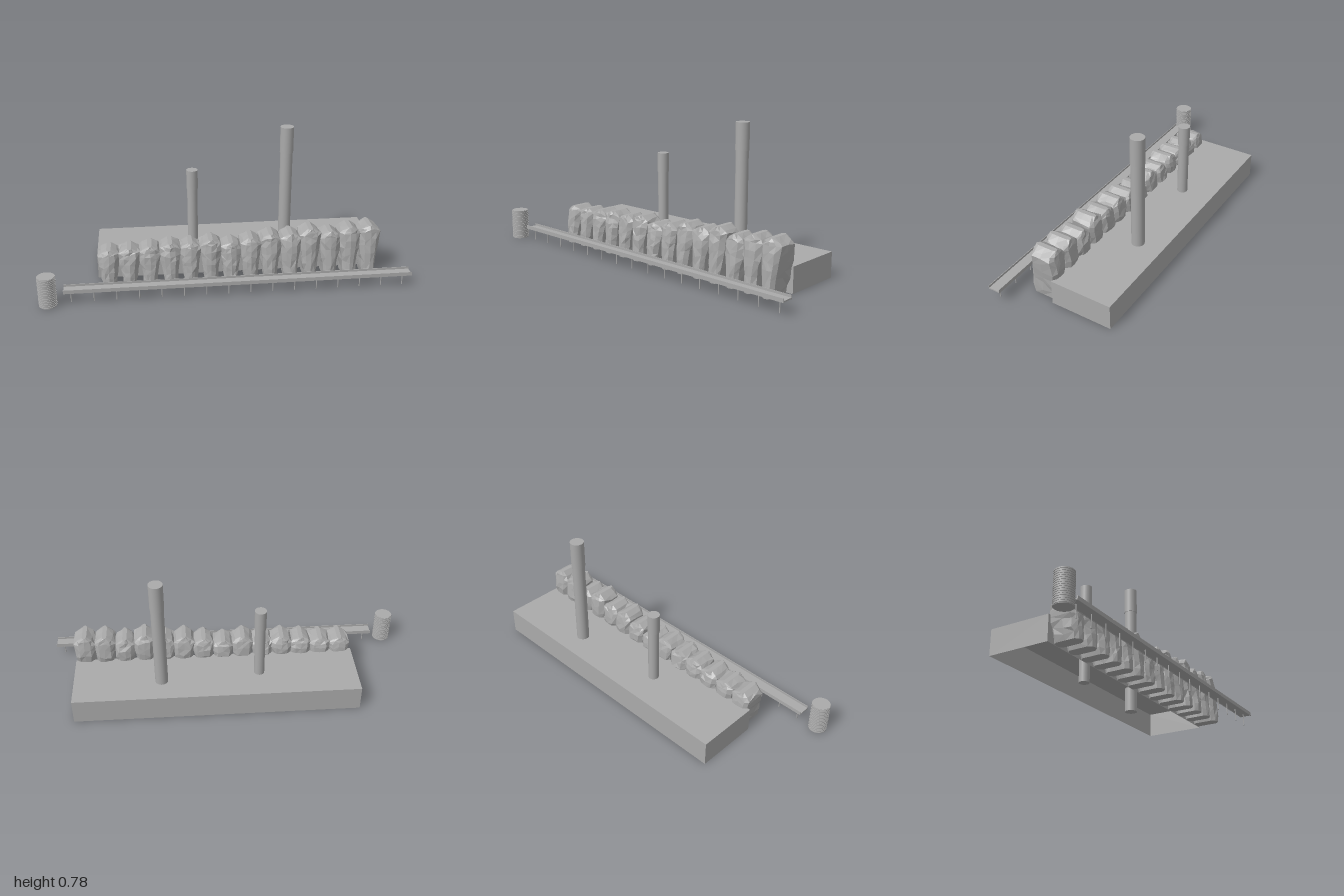
import * as THREE from 'three';

const grey = new THREE.MeshStandardMaterial({ color: 0xaaaaaa });
grey.name = 'grey';
const greyFaceted = grey.clone();
greyFaceted.name = 'grey faceted';
greyFaceted.flatShading = true;
const greyOpen = grey.clone();
greyOpen.name = 'grey thin';
greyOpen.side = THREE.DoubleSide;

function add(parent, name, geometry, x = 0, y = 0, z = 0, material = grey) {
  const mesh = new THREE.Mesh(geometry, material);
  mesh.name = name;
  mesh.position.set(x, y, z);
  parent.add(mesh);
  return mesh;
}

function seeded(seed) {
  let s = seed;
  return () => (s = (s * 16807) % 2147483647) / 2147483647;
}

// Plan outline of a boulder: sideways and depth factors, counterclockwise from above
const OUTLINE = [
  [-0.55, 0.92], [0, 1], [0.55, 0.92], [1, 0.66], [1, 0], [1, -0.75],
  [0.6, -0.97], [0, -1], [-0.6, -0.97], [-1, -0.75], [-1, 0], [-1, 0.66],
];
// Boulder levels: height fraction, half width, front z, back z
const LEVELS = [
  [0, 0.032, 0.161, 0.015], [0.15, 0.037, 0.161, 0.008], [0.3, 0.042, 0.158, -0.001],
  [0.45, 0.047, 0.156, -0.008], [0.6, 0.052, 0.152, -0.014], [0.74, 0.056, 0.148, -0.011],
  [0.87, 0.058, 0.141, -0.004], [0.93, 0.042, 0.138, 0.002], [1, 0.012, 0.132, 0.008],
];

function boulderGeometry(height, rand) {
  const pos = [], index = [], n = OUTLINE.length, last = LEVELS.length - 1;
  LEVELS.forEach(([f, w, front, back], level) => {
    const rough = level === 0 || level === last ? 0 : 1;
    for (const [u, v] of OUTLINE) {
      const jitter = (a) => (rand() - 0.5) * a * rough;
      pos.push(
        u * w + jitter(0.008),
        f * height + jitter(level < 7 ? 0.022 : 0.006),
        (front + back) / 2 + v * (front - back) / 2 + jitter(0.007));
    }
  });
  for (let l = 0; l < last; l++) {
    for (let i = 0; i < n; i++) {
      const a = l * n + i, b = l * n + (i + 1) % n;
      // alternate diagonals for a chiselled surface
      if (rand() < 0.7) index.push(a, b, b + n, a, b + n, a + n);
      else index.push(a, b, a + n, b, b + n, a + n);
    }
  }
  for (let i = 1; i < n - 1; i++) {
    index.push(0, i + 1, i, last * n, last * n + i, last * n + i + 1);
  }
  const geometry = new THREE.BufferGeometry();
  geometry.setAttribute('position', new THREE.Float32BufferAttribute(pos, 3));
  geometry.setIndex(index);
  const flat = geometry.toNonIndexed();
  flat.computeVertexNormals();
  return flat;
}

// Hollow building block, open underneath
function buildHall(root) {
  const hall = new THREE.Group();
  hall.name = 'hall';
  root.add(hall);
  const x0 = -0.7, x1 = 0.86, z0 = -0.332, z1 = 0.013, h = 0.14;
  const w = x1 - x0, d = z1 - z0, cx = (x0 + x1) / 2, cz = (z0 + z1) / 2;
  add(hall, 'roof', new THREE.PlaneGeometry(w, d).rotateX(-Math.PI / 2), cx, h, cz, greyOpen);
  add(hall, 'frontWall', new THREE.PlaneGeometry(w, h), cx, h / 2, z1, greyOpen);
  add(hall, 'backWall', new THREE.PlaneGeometry(w, h).rotateY(Math.PI), cx, h / 2, z0, greyOpen);
  add(hall, 'leftWall', new THREE.PlaneGeometry(d, h).rotateY(Math.PI / 2), x1, h / 2, cz, greyOpen);
  add(hall, 'rightWall', new THREE.PlaneGeometry(d, h).rotateY(-Math.PI / 2), x0, h / 2, cz, greyOpen);
}

// Chimney with a slightly wider upper sleeve
function buildChimney(root, name, x, z, shaftR, sleeveR, sleeveY, top) {
  const chimney = new THREE.Group();
  chimney.name = name;
  chimney.position.set(x, 0, z);
  root.add(chimney);
  add(chimney, 'shaft', new THREE.CylinderGeometry(shaftR, shaftR, sleeveY, 24), 0, sleeveY / 2, 0);
  const h = top - sleeveY;
  add(chimney, 'sleeve', new THREE.CylinderGeometry(sleeveR, sleeveR, h, 24), 0, sleeveY + h / 2, 0);
}

export function createModel() {
  const root = new THREE.Group();
  root.name = 'boulderFrontedHall';

  buildHall(root);
  buildChimney(root, 'shortChimney', -0.158, -0.151, 0.029, 0.032, 0.45, 0.56);
  buildChimney(root, 'tallChimney', 0.38, -0.189, 0.035, 0.038, 0.63, 0.78);

  // Row of boulders, rising towards the left end
  const heights = [0.218, 0.22, 0.23, 0.24, 0.235, 0.25, 0.23, 0.25, 0.27, 0.265, 0.29, 0.27, 0.29, 0.295];
  const boulders = new THREE.Group();
  boulders.name = 'boulders';
  root.add(boulders);
  heights.forEach((h, i) => {
    const x = -0.632 + i * (0.802 + 0.632) / (heights.length - 1);
    add(boulders, 'boulder', boulderGeometry(h, seeded(91 + i * 7793)), x, 0, 0, greyFaceted);
  });

  // Long raised gutter on thin legs
  const gutter = new THREE.Group();
  gutter.name = 'gutter';
  root.add(gutter);
  const length = 1.87, mid = 0.065;
  add(gutter, 'gutterFloor', new THREE.BoxGeometry(length, 0.007, 0.066), mid, 0.072, 0.263);
  for (const z of [0.2315, 0.2945]) {
    add(gutter, 'gutterLip', new THREE.BoxGeometry(length, 0.021, 0.003), mid, 0.077, z);
  }
  for (let i = 0; i < 16; i++) {
    const x = -0.833 + i * 0.1195;
    add(gutter, 'leg', new THREE.CylinderGeometry(0.003, 0.003, 0.07, 8), x, 0.035, 0.263);
  }

  // Ribbed tank
  const tank = new THREE.Group();
  tank.name = 'tank';
  tank.position.set(-0.952, 0, 0.283);
  root.add(tank);
  add(tank, 'tankBody', new THREE.CylinderGeometry(0.0455, 0.0455, 0.17, 28), 0, 0.085, 0);
  for (let i = 0; i < 16; i++) {
    add(tank, 'rib', new THREE.CylinderGeometry(0.0485, 0.0485, 0.006, 28), 0, 0.0055 + i * 0.0106, 0);
  }
  return root;
}
